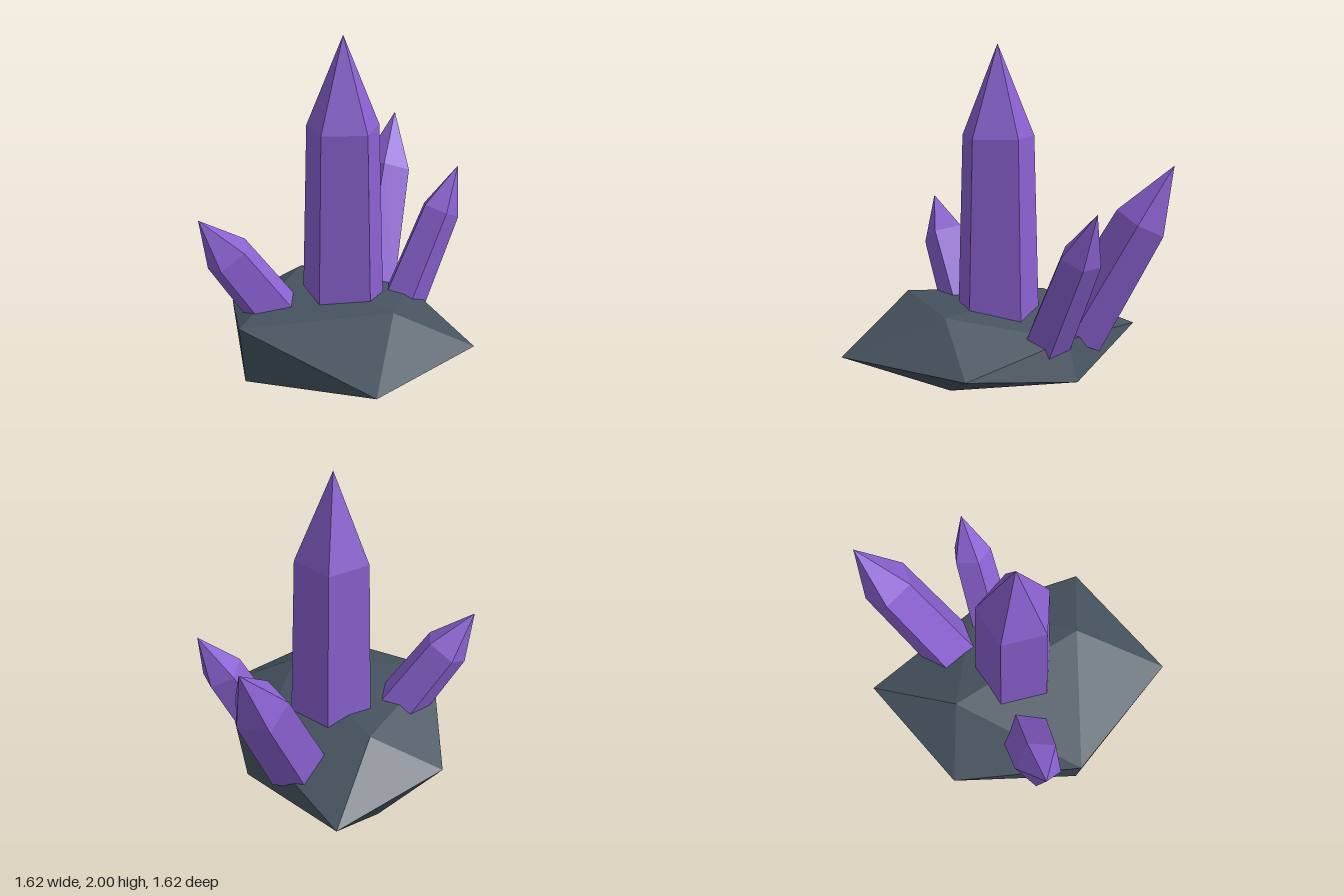
import * as THREE from 'three';

const crystalMat = new THREE.MeshStandardMaterial({ color: 0x8b62d2, flatShading: true });
crystalMat.name = 'violet crystal';
const rockMat = new THREE.MeshStandardMaterial({ color: 0x46535f, flatShading: true });
rockMat.name = 'slate rock';

// Five-sided tapering crystal. shoulder: centre of the ring where the point begins,
// tip: apex, edge: direction from the axis towards one of the five edges.
function makeCrystal(name, { shoulder, tip, edge, radius, baseRadius, shaft }) {
  const centre = new THREE.Vector3(...shoulder);
  const axis = new THREE.Vector3(...tip).sub(centre);
  const tipLength = axis.length();
  axis.normalize();
  const profile = [[0, -shaft], [baseRadius, -shaft], [radius, 0], [0, tipLength]]
    .map(([r, y]) => new THREE.Vector2(r, y));
  const geometry = new THREE.LatheGeometry(profile, 5, Math.PI / 2);
  const mesh = new THREE.Mesh(geometry, crystalMat);
  mesh.name = name;

  const x = new THREE.Vector3(...edge);
  x.addScaledVector(axis, -x.dot(axis)).normalize();
  const z = new THREE.Vector3().crossVectors(x, axis);
  mesh.quaternion.setFromRotationMatrix(new THREE.Matrix4().makeBasis(x, axis, z));
  mesh.position.copy(centre);
  return mesh;
}

// Rough boulder: a flattened twenty-sided solid with uneven corners
function makeRock() {
  const corners = [
    -0.45, 0.51, 0.03, 0.43, 0.51, 0.03, -0.56, 0, 0.03, 0.39, 0.08, 0.03,
    -0.02, 0.13, 0.73, -0.02, 0.46, 0.76, -0.02, 0.15, -0.55, -0.02, 0.38, -0.48,
    0.69, 0.29, -0.35, 0.81, 0.29, 0.465, -0.81, 0.29, -0.4, -0.69, 0.29, 0.38,
  ];
  const faces = [
    0, 11, 5, 0, 5, 1, 0, 1, 7, 0, 7, 10, 0, 10, 11,
    1, 5, 9, 5, 11, 4, 11, 10, 2, 10, 7, 6, 7, 1, 8,
    3, 9, 4, 3, 4, 2, 3, 2, 6, 3, 6, 8, 3, 8, 9,
    4, 9, 5, 2, 4, 11, 6, 2, 10, 8, 6, 7, 9, 8, 1,
  ];
  const indexed = new THREE.BufferGeometry();
  indexed.setAttribute('position', new THREE.Float32BufferAttribute(corners, 3));
  indexed.setIndex(faces);
  const geometry = indexed.toNonIndexed();
  geometry.computeVertexNormals();
  const mesh = new THREE.Mesh(geometry, rockMat);
  mesh.name = 'rockBase';
  return mesh;
}

export function createModel() {
  const model = new THREE.Group();
  model.name = 'crystalCluster';
  model.add(
    makeRock(),
    makeCrystal('mainCrystal', {
      shoulder: [-0.02, 1.48, 0.03], tip: [-0.02, 2, 0.03], edge: [1, 0, 0],
      radius: 0.217, baseRadius: 0.252, shaft: 1.13,
    }),
    makeCrystal('backRightCrystal', {
      shoulder: [-0.46, 1.005, -0.66], tip: [-0.555, 1.33, -0.81], edge: [-0.08, 0.037, 0.13],
      radius: 0.158, baseRadius: 0.182, shaft: 0.76,
    }),
    makeCrystal('backCrystal', {
      shoulder: [0.082, 0.88, -0.628], tip: [0.1, 1.138, -0.75], edge: [-0.012, 0.052, 0.108],
      radius: 0.12, baseRadius: 0.138, shaft: 0.64,
    }),
    makeCrystal('frontCrystal', {
      shoulder: [-0.265, 0.79, 0.66], tip: [-0.32, 1.02, 0.81], edge: [-0.005, 0.075, -0.12],
      radius: 0.14, baseRadius: 0.16, shaft: 0.54,
    }),
  );
  return model;
}
